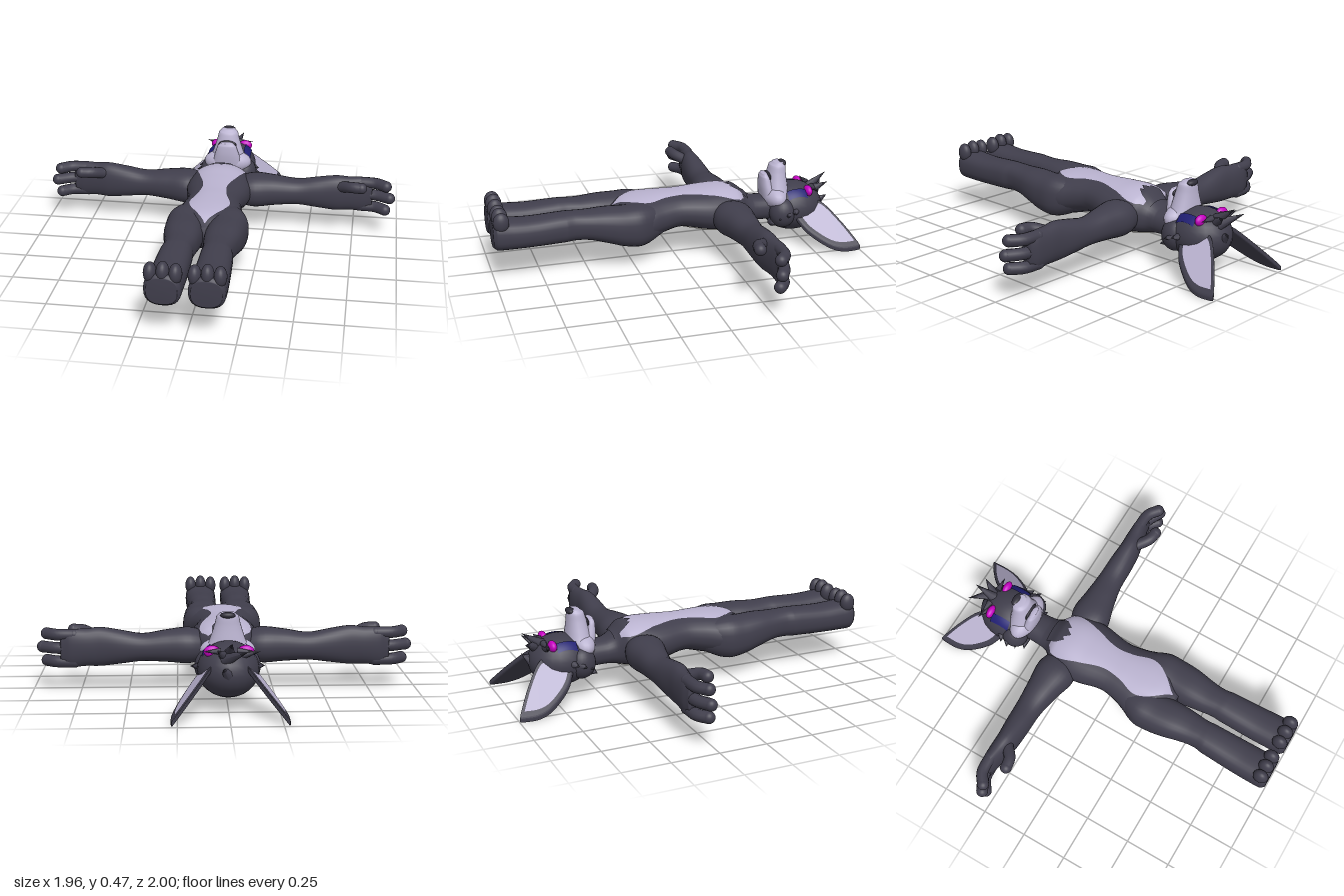
import * as THREE from 'three';
import { mergeGeometries } from 'three/addons/utils/BufferGeometryUtils.js';

const paint = (name, color, side = THREE.FrontSide) => {
  const m = new THREE.MeshStandardMaterial({ color, side });
  m.name = name;
  return m;
};
const V = (a) => new THREE.Vector3(...a);

// Smooth interpolation of cross-sections [t, centreU, halfU, centreV, halfV]
function sample(sec, t) {
  let i = 0;
  while (i < sec.length - 2 && t > sec[i + 1][0]) i++;
  const a = sec[Math.max(i - 1, 0)], b = sec[i], c = sec[i + 1], d = sec[Math.min(i + 2, sec.length - 1)];
  const s = THREE.MathUtils.clamp((t - b[0]) / (c[0] - b[0]), 0, 1);
  return b.map((_, k) => 0.5 * (2 * b[k] + (c[k] - a[k]) * s + (2 * a[k] - 5 * b[k] + 4 * c[k] - d[k]) * s * s
    + (3 * b[k] - a[k] - 3 * c[k] + d[k]) * s * s * s));
}

// Closed skin through cross-sections along one axis
function loft(axis, sec, e = 0.9, sides = 28, steps = 5) {
  const pos = [], idx = [], rings = [];
  const pow = (v) => Math.sign(v) * Math.abs(v) ** e;
  for (let i = 0; i < sec.length - 1; i++) {
    for (let k = 0; k < steps; k++) {
      const t = sec[i][0] + (sec[i + 1][0] - sec[i][0]) * k / steps;
      rings.push([t, ...sample(sec, t).slice(1)]);
    }
  }
  rings.push(sec.at(-1));
  const closed = (r) => [r[0], r[1], 0, r[3], 0];
  const all = [closed(rings[0]), ...rings, closed(rings.at(-1))];
  all.forEach(([t, cu, hu, cv, hv], r) => {
    for (let i = 0; i < sides; i++) {
      const a = i / sides * Math.PI * 2, u = cu + hu * pow(Math.cos(a)), v = cv + hv * pow(Math.sin(a));
      pos.push(...(axis === 'z' ? [u, v, t] : axis === 'x' ? [t, u, v] : [v, t, u]));
      if (r === all.length - 1) continue;
      const p = r * sides + i, q = r * sides + (i + 1) % sides;
      idx.push(p, q, q + sides, p, q + sides, p + sides);
    }
  });
  return finish(pos, idx);
}

function finish(pos, idx) {
  const g = new THREE.BufferGeometry();
  g.setAttribute('position', new THREE.Float32BufferAttribute(pos, 3));
  g.setIndex(idx);
  g.computeVertexNormals();
  return g;
}

// Thin marking laid over a surface y = f(x, z), between edges lo(z) and hi(z)
function drape(f, lo, hi, z0, z1, lift, rows = 48, cols = 16) {
  const pos = [], idx = [];
  for (let r = 0; r <= rows; r++) for (let c = 0; c <= cols; c++) {
    const z = z0 + (z1 - z0) * r / rows, x = lo(z) + (hi(z) - lo(z)) * c / cols;
    pos.push(x, f(x, z) + lift, z);
    if (r === rows || c === cols) continue;
    const p = r * (cols + 1) + c, q = p + cols + 1;
    idx.push(p, q, p + 1, p + 1, q, q + 1);
  }
  return finish(pos, idx);
}

const ball = (c, r) => new THREE.SphereGeometry(1, 24, 16).scale(...r).translate(...c);

// Round-ended bent finger
function finger(pts, r) {
  const tube = new THREE.TubeGeometry(new THREE.CatmullRomCurve3(pts.map(V)), 10, r, 12);
  return mergeGeometries([tube, ball(pts[0], [r, r, r]), ball(pts.at(-1), [r, r, r])]);
}

// Flattened fur spike from base to tip
function spike(base, tip, r) {
  const a = V(base), d = V(tip).sub(a);
  const g = new THREE.ConeGeometry(r, d.length(), 8).translate(0, d.length() / 2, 0);
  return g.applyQuaternion(new THREE.Quaternion().setFromUnitVectors(new THREE.Vector3(0, 1, 0), d.normalize()))
    .translate(...base);
}

function mirrored(geo) {
  const g = geo.clone().scale(-1, 1, 1);
  if (!g.index) g.setIndex([...Array(g.attributes.position.count).keys()]);
  const ix = g.index.array;
  for (let i = 0; i < ix.length; i += 3) [ix[i], ix[i + 1]] = [ix[i + 1], ix[i]];
  return g;
}

export function createModel() {
  const root = new THREE.Group();
  root.name = 'lyingFox';
  const dark = paint('darkFur', 0x403e4c);
  const light = paint('lightFur', 0xbab3d0, THREE.DoubleSide);
  const grey = paint('greyFur', 0xa3a29b, THREE.DoubleSide);
  const magenta = paint('magentaEye', 0xc400c0);
  const navy = paint('navyMarking', 0x201e72, THREE.DoubleSide);
  const black = paint('noseAndMouth', 0x2f2d38);
  const add = (name, geo, mat) => {
    const m = new THREE.Mesh(geo, mat);
    m.name = name;
    root.add(m);
  };
  const pair = (name, geo, mat) => {
    add(name + 'Left', geo, mat);
    add(name + 'Right', mirrored(geo), mat);
  };

  // Torso and neck
  const torso = [
    [-0.58, 0, 0.08, 0.21, 0.07], [-0.45, 0, 0.086, 0.215, 0.07], [-0.40, 0, 0.10, 0.225, 0.085],
    [-0.35, 0, 0.15, 0.24, 0.108], [-0.27, 0, 0.175, 0.243, 0.12], [-0.17, 0, 0.178, 0.248, 0.112],
    [-0.02, 0, 0.15, 0.26, 0.095], [0.08, 0, 0.165, 0.25, 0.105], [0.2, 0, 0.2, 0.233, 0.117],
    [0.29, 0, 0.15, 0.235, 0.1], [0.37, 0, 0.05, 0.24, 0.05]];
  add('torso', loft('z', torso), dark);

  // Legs and toes
  const leg = [
    [0.06, 0.08, 0.06, 0.24, 0.07], [0.2, 0.11, 0.1, 0.228, 0.11], [0.3, 0.112, 0.104, 0.23, 0.107],
    [0.4, 0.106, 0.1, 0.245, 0.093], [0.5, 0.1, 0.086, 0.255, 0.078], [0.57, 0.1, 0.078, 0.258, 0.077],
    [0.62, 0.102, 0.083, 0.257, 0.079], [0.8, 0.105, 0.089, 0.252, 0.077], [0.92, 0.107, 0.091, 0.255, 0.08],
    [0.98, 0.107, 0.09, 0.26, 0.083], [1.0, 0.107, 0.075, 0.26, 0.068]];
  pair('leg', loft('z', leg, 0.8), dark);
  [0.045, 0.107, 0.168].forEach((x, i) =>
    pair('toe' + i, ball([x, i === 1 ? 0.345 : 0.338, 0.957], [0.032, 0.053, 0.042]), dark));

  // Belly, chest tuft and back marking
  const bodyY = (s) => (x, z) => {
    const at = (sec, px) => {
      const [, cu, hu, cv, hv] = sample(sec, z), k = Math.min(Math.abs((px - cu) / hu), 1);
      return s * cv + hv * (1 - k ** (2 / 0.9)) ** 0.45;
    };
    return s * (z > 0.07 ? Math.max(at(torso, x), at(leg, Math.abs(x))) : at(torso, x));
  };
  const edge = [[-0.38, 0.09], [-0.35, 0.125], [-0.29, 0.135], [-0.2, 0.112], [-0.05, 0.07], [0.06, 0.08],
    [0.15, 0.11], [0.21, 0.1], [0.27, 0.06], [0.34, 0.003]];
  const w = (z) => sample(edge, z)[1];
  add('bellyMarking', drape(bodyY(1), (z) => -w(z), w, -0.38, 0.34, 0.005), light);
  for (const [x, end] of [[-0.04, -0.31], [0, -0.29], [0.04, -0.31]]) {
    const h = (z) => 0.03 * Math.min(1, (end - z) / 0.04);
    add('chestTuft', drape(bodyY(1), (z) => x - h(z), (z) => x + h(z), -0.41, end, 0.01, 12, 4), dark);
  }
  const oval = (z) => 0.1 * Math.sqrt(Math.max(0, 1 - ((z + 0.2) / 0.18) ** 2));
  add('backMarking', drape(bodyY(-1), (z) => -oval(z), oval, -0.38, -0.02, -0.005), grey);

  // Arms and palms
  pair('arm', loft('x', [
    [0.06, 0.235, 0.06, -0.28, 0.07], [0.18, 0.235, 0.092, -0.283, 0.107], [0.3, 0.235, 0.084, -0.293, 0.088],
    [0.43, 0.23, 0.072, -0.302, 0.07], [0.55, 0.233, 0.089, -0.302, 0.065], [0.65, 0.235, 0.102, -0.302, 0.057],
    [0.72, 0.233, 0.098, -0.31, 0.05], [0.8, 0.23, 0.1, -0.317, 0.04], [0.85, 0.23, 0.085, -0.315, 0.028]]), dark);
  // Three fingers and a thumb
  [[0.3, 0.925], [0.23, 0.947], [0.158, 0.925]].forEach(([y, tip], i) =>
    pair('finger' + i, finger([[0.78, y, -0.318], [0.87, y, -0.31], [tip, y, -0.272]], 0.031), dark));
  pair('thumb', finger([[0.68, 0.285, -0.275], [0.74, 0.305, -0.225], [0.79, 0.307, -0.215]], 0.031), dark);

  // Head with furry cheeks
  const hc = [0, 0.205, -0.69], hr = [0.153, 0.137, 0.172];
  add('skull', ball(hc, hr), dark);
  pair('cheek', ball([0.095, 0.2, -0.605], [0.07, 0.085, 0.075]), dark);
  [[0.18, 0.21, -0.645], [0.186, 0.2, -0.605], [0.165, 0.18, -0.565], [0.13, 0.14, -0.53]].forEach((tip) =>
    pair('cheekFur', spike([tip[0] - 0.055, tip[1] + 0.005, tip[2] - 0.025], tip, 0.03), dark));

  // Muzzle, jaw, mouth and nose
  add('muzzleBase', ball([0, 0.275, -0.578], [0.138, 0.07, 0.07]), light);
  add('snout', loft('y', [
    [0.27, -0.592, 0.07, 0, 0.115], [0.33, -0.592, 0.063, 0, 0.09], [0.4, -0.595, 0.052, 0, 0.067],
    [0.45, -0.6, 0.043, 0, 0.055], [0.468, -0.605, 0.026, 0, 0.038]]), light);
  add('jaw', loft('y', [
    [0.24, -0.55, 0.04, 0, 0.09], [0.33, -0.535, 0.036, 0, 0.072], [0.39, -0.525, 0.025, 0, 0.054],
    [0.41, -0.522, 0.014, 0, 0.035]]), light);
  add('mouth', ball([0, 0.39, -0.545], [0.053, 0.025, 0.011]), black);
  add('nose', ball([0, 0.458, -0.628], [0.038, 0.017, 0.022]), black);

  // Eyes with markings below and brows above
  const headY = (x, z) => hc[1] + hr[1] * Math.sqrt(Math.max(0, 1 - (x / hr[0]) ** 2 - ((z - hc[2]) / hr[2]) ** 2));
  pair('eye', ball([0.082, 0.307, -0.756], [0.04, 0.03, 0.022]), magenta);
  pair('eyeMarking', drape(headY, () => 0.087, () => 0.126, -0.74, -0.63, 0.008, 12, 6), navy);
  pair('brow', spike([0.04, 0.315, -0.79], [0.125, 0.315, -0.795], 0.018), dark);

  // Hair tufts
  [[[0.02, 0.28, -0.81], [-0.085, 0.335, -0.9], 0.035], [[0.02, 0.29, -0.8], [0.06, 0.34, -0.88], 0.03],
    [[0, 0.3, -0.79], [-0.01, 0.375, -0.895], 0.03], [[-0.05, 0.29, -0.78], [-0.15, 0.315, -0.8], 0.025],
    [[0, 0.2, -0.82], [0.03, 0.25, -0.89], 0.045]].forEach((s) => add('hairTuft', spike(...s), dark));

  // Large ears, sloping outward and down
  const outline = [[0.085, 0.75], [0.1, 0.83], [0.185, 0.92], [0.272, 0.99], [0.272, 0.9], [0.25, 0.82],
    [0.19, 0.72], [0.13, 0.67]];
  const earShape = (k) => {
    const p = outline.map(([x, s]) => new THREE.Vector2(0.19 + (x - 0.19) * k, 0.84 + (s - 0.84) * k));
    const shape = new THREE.Shape().moveTo(p[0].x, p[0].y);
    shape.splineThru(p.slice(1, 4)).splineThru(p.slice(4));
    return shape;
  };
  const slope = (g) => {
    g.rotateX(-Math.PI / 2);
    const p = g.attributes.position;
    for (let i = 0; i < p.count; i++) p.setY(i, p.getY(i) + 0.19 - (p.getX(i) - 0.12) * 1.15);
    g.computeVertexNormals();
    return g;
  };
  pair('ear', slope(new THREE.ExtrudeGeometry(earShape(1), {
    depth: 0.014, bevelSize: 0.008, bevelThickness: 0.008, bevelSegments: 3, curveSegments: 8 })), dark);
  pair('innerEar', slope(new THREE.ShapeGeometry(earShape(0.87), 8).translate(0, 0, 0.026)), light);
  return root;
}
